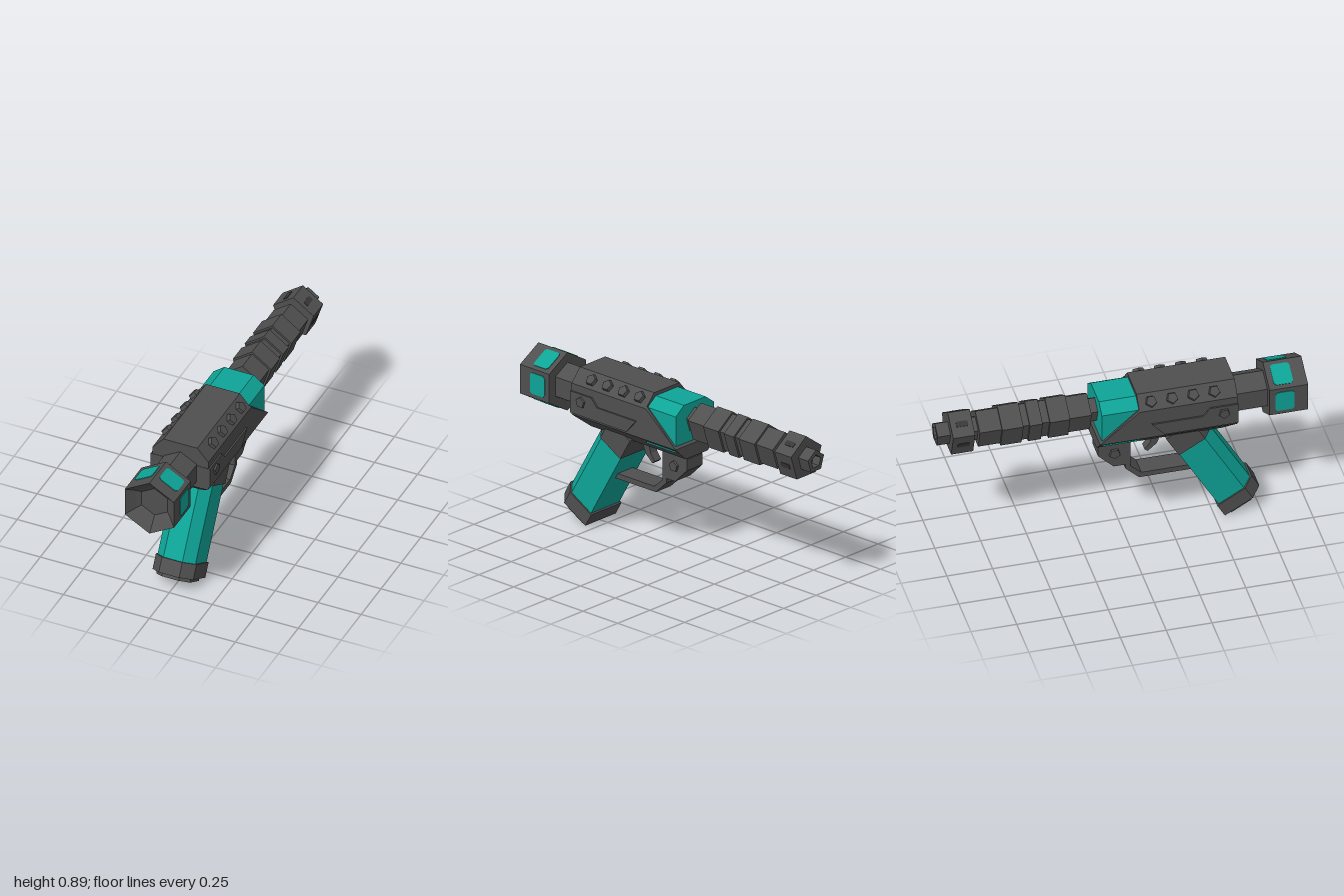
import * as THREE from 'three';

const gray = new THREE.MeshStandardMaterial({ color: 0x4f4f4f });
gray.name = 'darkGray';
const teal = new THREE.MeshStandardMaterial({ color: 0x0ea497 });
teal.name = 'teal';
const shade = new THREE.MeshStandardMaterial({ color: 0x383838 });
shade.name = 'slotGray';

function flat(geometry) {
  const g = geometry.index ? geometry.toNonIndexed() : geometry;
  g.computeVertexNormals();
  return g;
}

function add(parent, name, geometry, material, x = 0, y = 0, z = 0) {
  const mesh = new THREE.Mesh(geometry, material);
  mesh.name = name;
  mesh.position.set(x, y, z);
  parent.add(mesh);
  return mesh;
}

const shapeOf = (pts) => new THREE.Shape(pts.map(([x, y]) => new THREE.Vector2(x, y)));

// Outline in (z, y), extruded across x
function sideExtrude(pts, half) {
  const g = new THREE.ExtrudeGeometry(shapeOf(pts), { depth: half * 2, bevelEnabled: false });
  return g.translate(0, 0, -half).rotateY(-Math.PI / 2);
}

// Faceted solid along z; profile is [radius, distance], dir is +1 or -1
function faceted(profile, sides, dir) {
  const g = new THREE.LatheGeometry(profile.map(([r, d]) => new THREE.Vector2(r, d)), sides);
  return flat(g.rotateX(dir * Math.PI / 2));
}

// Mirrored half-section, counter-clockwise seen from +z
const mirrored = (half) => [...half, ...half.map(([x, y]) => [-x, y]).reverse()];

// Joins equal-length outlines placed at successive, decreasing z
function loft(sections) {
  const n = sections[0].pts.length, pos = [], idx = [];
  sections.forEach(({ z, pts }) => pts.forEach(([x, y]) => pos.push(x, y, z)));
  for (let i = 0; i < sections.length - 1; i++) {
    for (let j = 0; j < n; j++) {
      const a = i * n + j, b = i * n + (j + 1) % n;
      idx.push(a, a + n, b + n, a, b + n, b);
    }
  }
  const last = (sections.length - 1) * n;
  for (let j = 1; j < n - 1; j++) {
    idx.push(0, j, j + 1, last, last + j + 1, last + j);
  }
  const g = new THREE.BufferGeometry();
  g.setAttribute('position', new THREE.Float32BufferAttribute(pos, 3));
  g.setIndex(idx);
  return flat(g);
}

// Thin rounded plate facing +x, long along z
function plate(length, width, r) {
  const a = length / 2, b = width / 2, s = new THREE.Shape();
  s.moveTo(-a + r, -b);
  s.lineTo(a - r, -b); s.lineTo(a, -b + r);
  s.lineTo(a, b - r); s.lineTo(a - r, b);
  s.lineTo(-a + r, b); s.lineTo(-a, b - r);
  s.lineTo(-a, -b + r);
  return new THREE.ExtrudeGeometry(s, { depth: 0.006, bevelEnabled: false })
    .translate(0, 0, -0.003).rotateY(Math.PI / 2);
}

// Spreads a plate over every face of a prism along z
function platesAround(parent, name, geometry, material, sides, apothem, y, z) {
  for (let i = 0; i < sides; i++) {
    const a = Math.PI / 2 + (i + 0.5) * 2 * Math.PI / sides;
    add(parent, name, geometry, material, Math.cos(a) * apothem, y + Math.sin(a) * apothem, z)
      .rotation.z = a;
  }
}

export function createModel() {
  const model = new THREE.Group();
  model.name = 'toyBlaster';

  // Body, with its top cut down in a slope towards the barrel
  const bodySection = (z, top, low = 0.57) => ({
    z,
    pts: mirrored([
      [low > 0.6 ? 0.155 : 0.085, low], [0.163, 0.643], [0.163, Math.min(0.82, top)],
      [top > 0.82 ? 0.163 - (top - 0.82) * 0.89 : 0.163, top],
    ]),
  });
  add(model, 'body', loft([
    bodySection(0.61, 0.893, 0.636), bodySection(0.54, 0.893),
    bodySection(0.075, 0.893), bodySection(0.075, 0.83), bodySection(-0.14, 0.645),
  ]), gray);
  const collar = mirrored([[0.148, 0.62], [0.148, 0.825], [0.085, 0.873]]);
  add(model, 'barrelCollar', new THREE.ExtrudeGeometry(shapeOf(collar),
    { depth: 0.21, bevelEnabled: false }), teal, 0, 0, -0.127);

  // Raised side panels
  add(model, 'sidePanels', sideExtrude([
    [0.612, 0.655], [0.612, 0.778], [0.46, 0.778], [0.42, 0.733], [0.14, 0.733], [0.21, 0.655],
  ], 0.172), gray);

  // Five-sided bolts
  const bolt = flat(new THREE.CylinderGeometry(0.03, 0.035, 0.024, 5))
    .rotateY(-Math.PI / 2).rotateZ(-Math.PI / 2);
  for (const s of [1, -1]) {
    const turn = (a) => (s > 0 ? a : Math.PI - a);
    for (const z of [0.49, 0.375, 0.26, 0.145]) {
      add(model, 'topBolt', bolt, gray, s * 0.136, 0.861, z).rotation.z = turn(0.72);
    }
    add(model, 'sideBolt', bolt, gray, s * 0.17, 0.733, 0.535).rotation.z = turn(0);
    add(model, 'guardBolt', bolt, gray, s * 0.06, 0.495, -0.035).rotation.z = turn(0);
  }

  // Six-sided end housing with a stepped hollow and windows
  add(model, 'endTube', faceted([[0, 0], [0.11, 0], [0.11, 0.27], [0, 0.27]], 6, 1),
    gray, 0, 0.73, 0.55);
  add(model, 'endHousing', faceted([
    [0, 0], [0.165, 0], [0.165, 0.21], [0.115, 0.165], [0.087, 0.145], [0, 0.145],
  ], 6, 1), gray, 0, 0.73, 0.79);
  platesAround(model, 'window', plate(0.105, 0.12, 0.012), teal, 6, 0.1435, 0.73, 0.873);

  // Five-sided barrel with raised rings, and the muzzle
  const steps = [
    [0.068, 0.1, 0.17], [0.105, 0.17, 0.29], [0.118, 0.29, 0.4], [0.105, 0.4, 0.44],
    [0.118, 0.44, 0.51], [0.105, 0.51, 0.545], [0.118, 0.545, 0.66], [0.105, 0.66, 0.78],
    [0.068, 0.78, 0.82],
  ];
  add(model, 'barrel', faceted([[0, 0.1],
    ...steps.flatMap(([r, a, b]) => [[r, a], [r, b]]), [0, 0.82]], 5, -1), gray, 0, 0.77, 0);
  add(model, 'muzzle', faceted([
    [0, 0.81], [0.124, 0.81], [0.124, 0.93], [0.065, 0.93], [0.065, 1], [0.038, 1],
    [0.038, 0.95], [0, 0.95],
  ], 5, -1), gray, 0, 0.77, 0);
  platesAround(model, 'muzzleSlot', plate(0.065, 0.03, 0.004), shade, 5, 0.1, 0.77, -0.868);

  // Slanted grip, built downwards from its top
  const grip = new THREE.Group();
  grip.name = 'grip';
  grip.position.set(0, 0.513, 0.397);
  grip.rotation.x = -Math.PI / 6;
  model.add(grip);
  const gripShape = (w, d) => shapeOf(mirrored([[w, -d], [w, d * 0.5], [w * 0.5, d]]));
  const gripPart = (name, shape, top, length, material) => add(grip, name,
    new THREE.ExtrudeGeometry(shape, { depth: length, bevelEnabled: false })
      .rotateX(Math.PI / 2), material, 0, top, 0);
  gripPart('gripNeck', gripShape(0.118, 0.11), 0.14, 0.14, gray);
  gripPart('gripHandle', gripShape(0.11, 0.107), 0, 0.45, teal);
  gripPart('gripBase', gripShape(0.118, 0.117), -0.43, 0.084, gray);
  const rim = gripShape(0.098, 0.085);
  rim.holes.push(gripShape(0.078, 0.066));
  gripPart('gripBaseRim', rim, -0.51, 0.025, gray);

  // Trigger and its guard
  add(model, 'trigger', sideExtrude([
    [0.225, 0.6], [0.225, 0.54], [0.205, 0.49], [0.155, 0.447], [0.138, 0.462],
    [0.168, 0.5], [0.18, 0.545], [0.18, 0.6],
  ], 0.025), gray);
  add(model, 'triggerGuard', sideExtrude([
    [0.42, 0.338], [0.4, 0.308], [0.1, 0.308], [0.025, 0.38], [0.025, 0.43],
    [0.052, 0.43], [0.052, 0.392], [0.112, 0.338],
  ], 0.058), gray);
  add(model, 'guardBlock', sideExtrude([
    [0.052, 0.58], [0.052, 0.408], [-0.04, 0.408], [-0.125, 0.492], [-0.125, 0.555], [-0.1, 0.58],
  ], 0.06), gray);

  return model;
}
